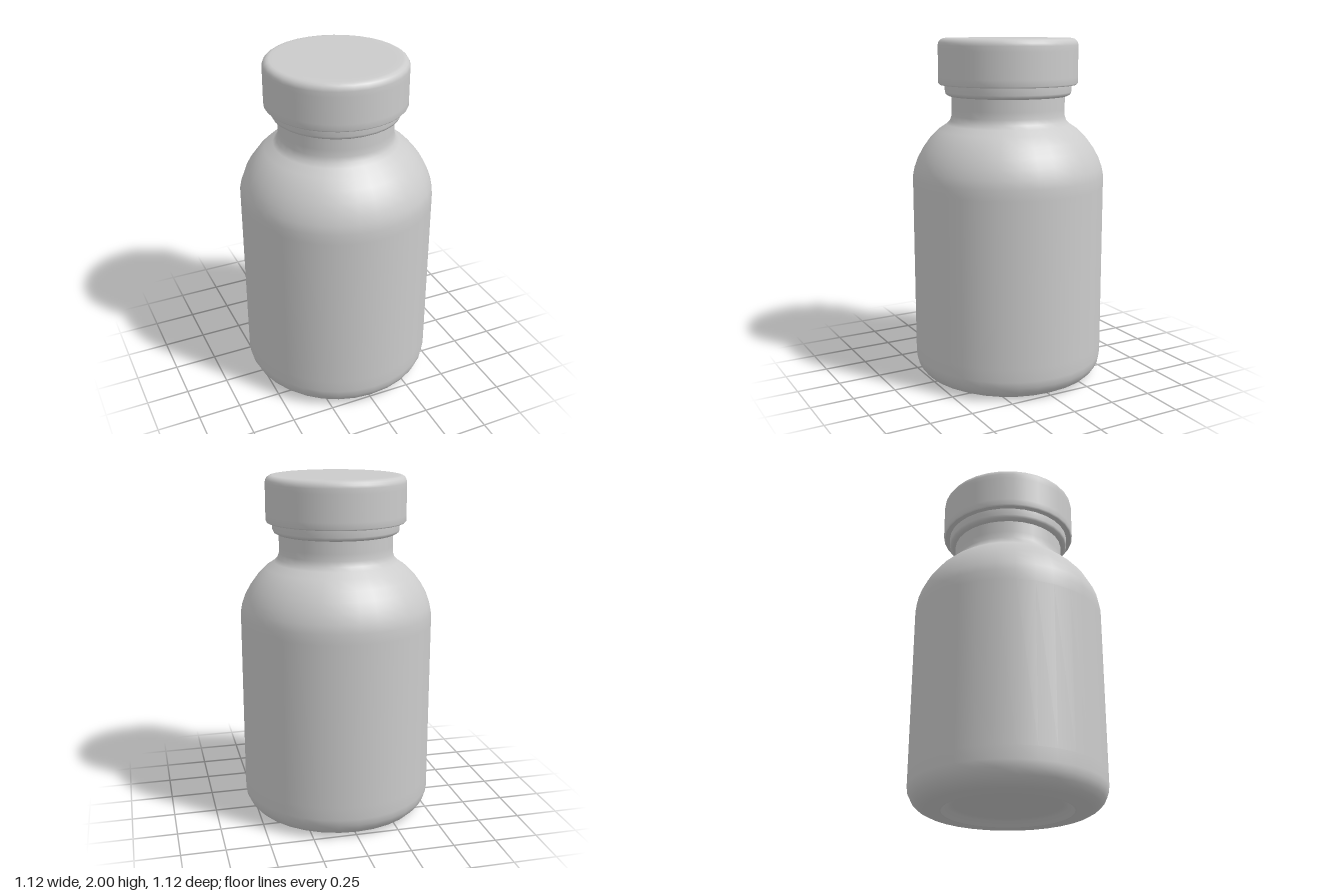
import * as THREE from 'three';

const SIDES = 32;

// Turned part from [radius, height] pairs; a repeated point makes a sharp edge
function turned(name, profile) {
  const points = profile.map(([r, y]) => new THREE.Vector2(r, y));
  const material = new THREE.MeshStandardMaterial({ color: 0xcccccc });
  const mesh = new THREE.Mesh(new THREE.LatheGeometry(points, SIDES, Math.PI / 2), material);
  mesh.name = name;
  return mesh;
}

// Points along a quarter ellipse between two angles in degrees
function arc(cx, cy, rx, ry, from, to, steps) {
  return Array.from({ length: steps + 1 }, (_, i) => {
    const a = THREE.MathUtils.degToRad(from + (to - from) * i / steps);
    return [cx + rx * Math.cos(a), cy + ry * Math.sin(a)];
  });
}

export function createModel() {
  const group = new THREE.Group();
  group.name = 'bottle';

  // Body: recessed base, rounded foot, straight wall, domed shoulder, neck
  group.add(turned('bottleBody', [
    [0, 0.035], [0.31, 0.035], [0.335, 0.028], [0.37, 0], [0.37, 0],
    ...arc(0.44, 0.125, 0.12, 0.125, -90, 0, 5),
    [0.56, 0.2], [0.56, 1.15], [0.56, 1.21],
    [0.55, 1.26], [0.53, 1.315], [0.5, 1.37], [0.46, 1.425], [0.41, 1.475],
    [0.36, 1.508], [0.34, 1.53], [0.33, 1.56], [0.33, 1.6], [0.33, 1.74],
  ]));

  // Collar ring just below the cap
  group.add(turned('neckRing', [
    [0.325, 1.672], [0.345, 1.672], [0.36, 1.68], [0.367, 1.695],
    [0.367, 1.74],
  ]));

  // Cap with a softened top edge
  group.add(turned('cap', [
    [0.32, 1.737], [0.397, 1.737], [0.397, 1.737], [0.404, 1.745], [0.404, 1.78],
    [0.404, 1.93], ...arc(0.364, 1.96, 0.04, 0.04, 0, 90, 4),
    [0.33, 2], [0, 2],
  ]));

  return group;
}
